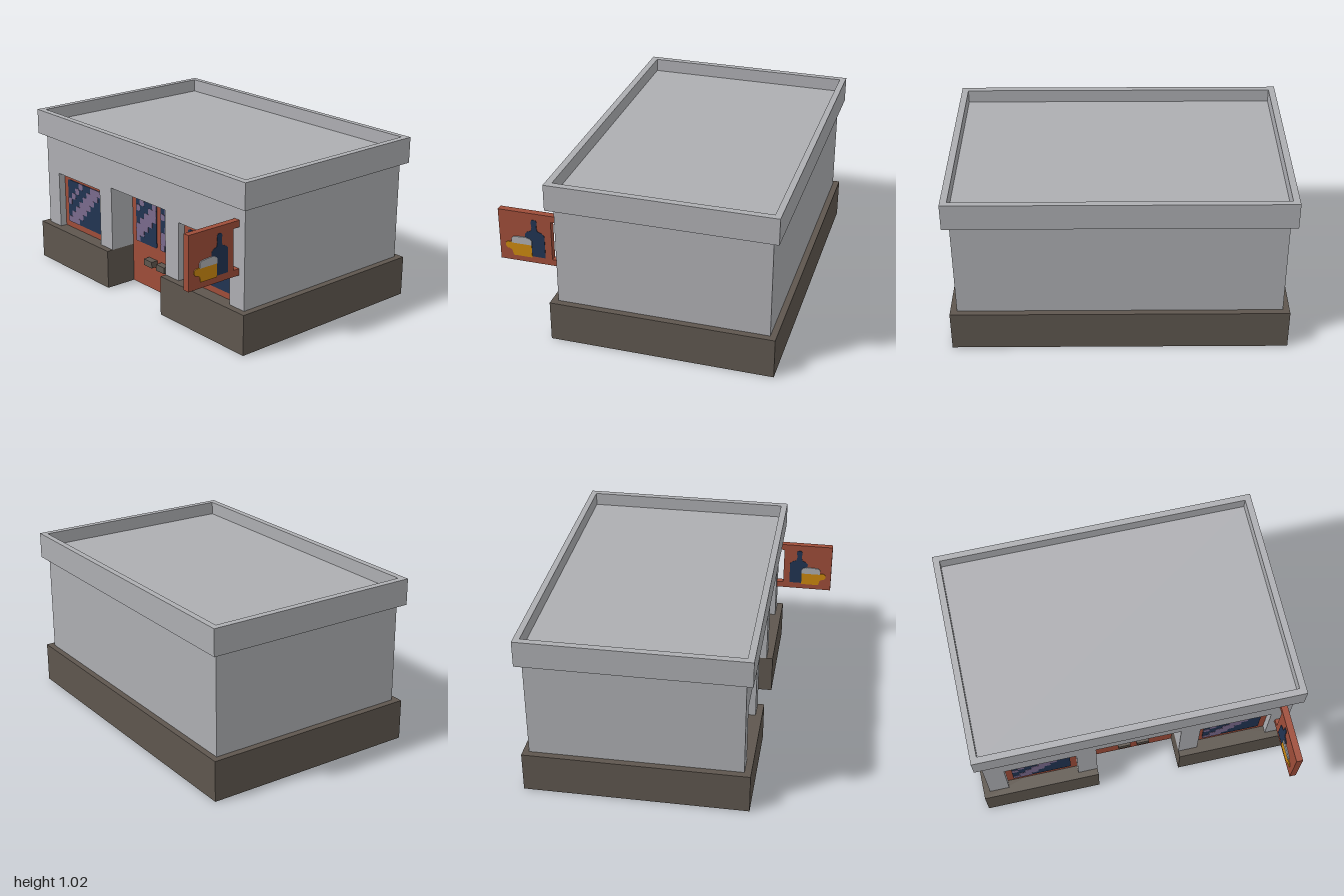
import * as THREE from 'three';
import { mergeGeometries } from 'three/addons/utils/BufferGeometryUtils.js';

const mat = (name, color) => {
  const m = new THREE.MeshStandardMaterial({ color });
  m.name = name;
  return m;
};

// Closed shape from [x, y] points
const poly = (pts) => new THREE.Shape(pts.map(([x, y]) => new THREE.Vector2(x, y)));

const rect = (x0, y0, x1, y1) => poly([[x0, y0], [x1, y0], [x1, y1], [x0, y1]]);

function roundedRect(x0, y0, x1, y1, r) {
  const s = new THREE.Shape();
  s.absarc(x1 - r, y0 + r, r, -Math.PI / 2, 0);
  s.absarc(x1 - r, y1 - r, r, 0, Math.PI / 2);
  s.absarc(x0 + r, y1 - r, r, Math.PI / 2, Math.PI);
  s.absarc(x0 + r, y0 + r, r, Math.PI, Math.PI * 1.5);
  return s;
}

const extrude = (shape, depth) =>
  new THREE.ExtrudeGeometry(shape, { depth, bevelEnabled: false, curveSegments: 3 });

// Plan outline in (x, -z), raised from y0 to y1
const raise = (shape, y0, y1) => extrude(shape, y1 - y0).rotateX(-Math.PI / 2).translate(0, y0, 0);

function box(x0, x1, y0, y1, z0, z1) {
  return new THREE.BoxGeometry(x1 - x0, y1 - y0, z1 - z0)
    .translate((x0 + x1) / 2, (y0 + y1) / 2, (z0 + z1) / 2);
}

export function createModel() {
  const plaster = mat('grey plaster', 0xadaeb2);
  const stone = mat('brown stone', 0x5e564e);
  const wood = mat('red wood', 0x9e4d39);
  const navy = mat('navy glass', 0x213452);
  const glare = mat('purple reflection', 0x7a6a8c);
  const amber = mat('amber drink', 0xca870f);

  const model = new THREE.Group();
  model.name = 'shop';
  const add = (name, geometry, material, parent = model) => {
    const m = new THREE.Mesh(geometry, material);
    m.name = name;
    parent.add(m);
    return m;
  };

  const BACK = -0.835, FRONT = 0.51, BASE = 0.248, EAVE = 0.862, DOOR = 0.265, DOOR_Z = 0.305;
  const WALL_X = 0.96, WALL_FRONT = 0.47, WALL_BACK = -0.798;

  // Stone base with a notch for the entrance
  add('base', raise(poly([
    [-1, -FRONT], [-DOOR, -FRONT], [-DOOR, -0.29], [DOOR, -0.29],
    [DOOR, -FRONT], [1, -FRONT], [1, -BACK], [-1, -BACK],
  ]), 0, BASE), stone);

  // Main body, and a thick front wall with openings for door and windows
  add('walls', box(-WALL_X, WALL_X, BASE, EAVE, WALL_BACK, 0.29), plaster);
  const WX0 = 0.388, WX1 = 0.837, WY1 = 0.615;
  const opening = (x0, x1, top) => [[x0, BASE], [x0, top], [x1, top], [x1, BASE]];
  add('frontWall', extrude(poly([
    [-WALL_X, BASE],
    ...opening(-WX1, -WX0, WY1), ...opening(-DOOR, DOOR, 0.66), ...opening(WX0, WX1, WY1),
    [WALL_X, BASE], [WALL_X, EAVE], [-WALL_X, EAVE],
  ]), WALL_FRONT - 0.29).translate(0, 0, 0.29), plaster);

  // Overhanging parapet around a sunken flat roof
  const rim = rect(-1, -FRONT, 1, -BACK);
  rim.holes.push(rect(-WALL_X, -WALL_FRONT, WALL_X, -WALL_BACK));
  add('parapet', raise(rim, EAVE, 1.022), plaster);
  add('roof', box(-WALL_X, WALL_X, EAVE, 0.94, WALL_BACK, WALL_FRONT), plaster);

  // Glass pane with stepped diagonal reflections; bands count cells from the top left
  function pane(parent, x0, x1, y0, y1, z, cols, rows, bands) {
    add('glass', extrude(roundedRect(x0, y0, x1, y1, 0.012), 0.004).translate(0, 0, z), navy, parent);
    const cw = (x1 - x0) / cols, ch = (y1 - y0) / rows, strips = [];
    for (let r = 0; r < rows; r++) {
      for (const [from, to] of bands) {
        const a = Math.max(0, from - r), b = Math.min(cols, to - r);
        if (b <= a) continue;
        const top = y1 - r * ch;
        strips.push(extrude(roundedRect(x0 + a * cw, top - ch, x0 + b * cw, top, 0.008), 0.002));
      }
    }
    add('reflection', mergeGeometries(strips).translate(0, 0, z + 0.004), glare, parent);
  }

  // Windows on both sides of the door
  for (const [name, cx] of [['rightWindow', -0.6125], ['leftWindow', 0.6125]]) {
    const g = new THREE.Group();
    g.name = name;
    model.add(g);
    add('windowFrame', box(cx - 0.2245, cx + 0.2245, BASE, WY1, 0.38, 0.425), wood, g);
    pane(g, cx - 0.185, cx + 0.185, 0.288, 0.577, 0.425, 9, 7, [[3, 4], [6, 9]]);
  }

  // Double door with two panes and two handles
  const door = new THREE.Group();
  door.name = 'door';
  model.add(door);
  add('doorPanel', box(-DOOR, DOOR, 0, 0.66, 0.285, DOOR_Z), wood, door);
  for (const x0 of [-0.225, 0.02]) {
    pane(door, x0, x0 + 0.205, 0.288, 0.615, DOOR_Z, 5, 8, [[2, 3], [5, 8]]);
  }
  for (const cx of [-0.061, 0.061]) {
    add('handle', box(cx - 0.04, cx + 0.04, 0.166, 0.207, DOOR_Z, DOOR_Z + 0.045), stone, door);
  }

  // Hanging sign on two brackets
  const sign = new THREE.Group();
  sign.name = 'sign';
  model.add(sign);
  const SX0 = 0.875, SX1 = 0.915;
  add('signBoard', box(SX0, SX1, 0.452, 0.778, 0.513, 0.836), wood, sign);
  for (const y of [0.452, 0.738]) {
    add('bracket', box(SX0, SX1, y, y + 0.04, WALL_FRONT, 0.513), wood, sign);
  }

  // Painted bottle and mug, drawn in (z, y) on both faces of the sign
  const bottle = poly([
    [0.555, 0.495], [0.67, 0.495], [0.675, 0.64], [0.66, 0.655], [0.637, 0.665], [0.632, 0.69],
    [0.636, 0.725], [0.627, 0.737], [0.605, 0.737], [0.598, 0.725], [0.602, 0.69], [0.597, 0.665],
    [0.57, 0.655], [0.555, 0.64],
  ]);
  const mug = poly([
    [0.637, 0.488], [0.752, 0.488], [0.76, 0.52], [0.775, 0.53], [0.79, 0.532], [0.8, 0.548],
    [0.798, 0.565], [0.785, 0.574], [0.637, 0.574],
  ]);
  const foam = poly([
    [0.635, 0.57], [0.76, 0.57], [0.762, 0.598], [0.75, 0.612], [0.72, 0.615],
    [0.672, 0.618], [0.645, 0.61], [0.635, 0.598],
  ]);
  const paint = (name, shape, depth, material) => {
    for (const x of [SX1, SX0 - depth]) {
      // (z, y, x) axes turned into place, mirrored back along z
      const g = extrude(new THREE.Shape(shape.getPoints().map((p) => new THREE.Vector2(-p.x, p.y))), depth);
      add(name, g.rotateY(Math.PI / 2).translate(x, 0, 0), material, sign);
    }
  };
  paint('bottle', bottle, 0.003, navy);
  paint('mug', mug, 0.005, amber);
  paint('foam', foam, 0.007, plaster);

  return model;
}
